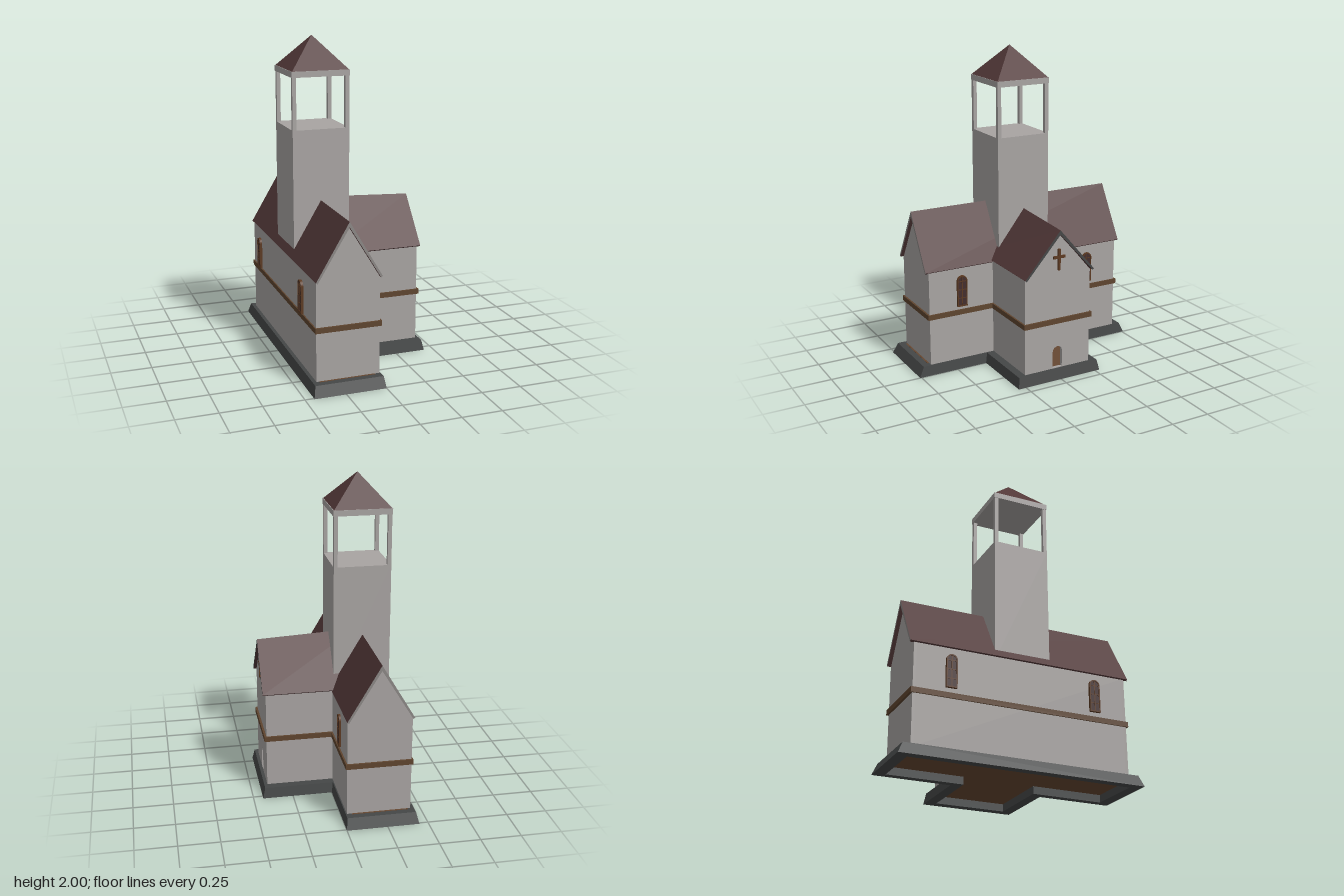
import * as THREE from 'three';

const mat = (name, color, opts = {}) => {
  const m = new THREE.MeshStandardMaterial({ color, ...opts });
  m.name = name;
  return m;
};

export function createModel() {
  const wall = mat('plaster', 0xa8a4a2);
  const roofRed = mat('roofTiles', 0x523838);
  const stone = mat('darkStone', 0x454747);
  const wood = mat('woodBand', 0x5f452f);
  const frameWood = mat('frameWood', 0x5c3a22);
  const glass = mat('darkGlass', 0x432e2e);
  const boards = mat('floorBoards', 0x664832);
  const trim = mat('roofEdge', 0x8b8785);

  const model = new THREE.Group();
  model.name = 'chapel';
  const add = (name, geo, material, parent = model) => {
    const m = new THREE.Mesh(geo, material);
    m.name = name;
    parent.add(m);
    return m;
  };
  const block = (name, x0, x1, y0, y1, z0, z1, material, parent) =>
    add(name, new THREE.BoxGeometry(x1 - x0, y1 - y0, z1 - z0)
      .translate((x0 + x1) / 2, (y0 + y1) / 2, (z0 + z1) / 2), material, parent);
  const polygon = (pts) => new THREE.Shape(pts.map(([x, y]) => new THREE.Vector2(x, y)));
  const extrude = (shape, depth) =>
    new THREE.ExtrudeGeometry(shape, { depth, bevelEnabled: false, curveSegments: 8 });

  // T-shaped plan: nave x0..x1 by z0..z1, wing out to x2 by w0..w1
  const plan = (x0, x1, x2, z0, z1, w0, w1) => [
    [x0, z0], [x1, z0], [x1, w0], [x2, w0], [x2, w1], [x1, w1], [x1, z1], [x0, z1]];

  // Closed ring through plan loops, each given as [plan, height]
  const ring = (loops) => {
    const pos = [];
    loops.forEach(([a, ya], k) => {
      const [b, yb] = loops[(k + 1) % loops.length];
      a.forEach((p, i) => {
        const j = (i + 1) % a.length;
        const A = [p[0], ya, p[1]], B = [b[i][0], yb, b[i][1]];
        const C = [b[j][0], yb, b[j][1]], D = [a[j][0], ya, a[j][1]];
        pos.push(...A, ...B, ...C, ...A, ...C, ...D);
      });
    });
    const g = new THREE.BufferGeometry();
    g.setAttribute('position', new THREE.Float32BufferAttribute(pos, 3));
    g.computeVertexNormals();
    return g;
  };

  // Plinth with sloping sides, and the floor inside it
  const inner = plan(-0.39, -0.045, 0.385, -0.69, 0.69, -0.215, 0.235);
  add('plinth', ring([
    [inner, 0],
    [plan(-0.445, 0, 0.44, -0.76, 0.76, -0.28, 0.3), 0],
    [plan(-0.43, -0.008, 0.425, -0.73, 0.73, -0.268, 0.288), 0.066],
    [inner, 0.066],
  ]), stone);
  add('floor', extrude(polygon(inner), 0.02).rotateX(Math.PI / 2).translate(0, 0.067, 0), boards);

  // Long walls
  const base = 0.06, top = 0.672, t = 0.02;
  block('naveLeftWall', -0.407, -0.387, base, top, -0.66, 0.66, wall);
  block('naveRightWallFront', -0.035, -0.015, base, top, 0.218, 0.66, wall);
  block('naveRightWallBack', -0.035, -0.015, base, top, -0.66, -0.198, wall);
  block('wingFrontWall', -0.03, 0.39, base, top + 0.01, 0.218, 0.238, wall);
  block('wingBackWall', -0.03, 0.39, base, top + 0.01, -0.218, -0.198, wall);

  // Gable walls
  const gable = (c, half, eave, peak) => polygon([
    [c - half, base], [c + half, base], [c + half, eave], [c, peak], [c - half, eave]]);
  const naveGable = gable(-0.211, 0.196, top, 0.988);
  add('naveFrontGable', extrude(naveGable, t).translate(0, 0, 0.658), wall);
  add('naveBackGable', extrude(naveGable, t).translate(0, 0, -0.678), wall);

  // Arched outline used for the doorway, windows and frames
  const arch = (Type, c, r, y0, y1) => {
    const s = new Type();
    s.moveTo(c - r, y0);
    s.lineTo(c + r, y0);
    s.lineTo(c + r, y1 - r);
    s.absarc(c, y1 - r, r, 0, Math.PI, false);
    s.lineTo(c - r, y0);
    return s;
  };
  const wingGable = gable(-0.01, 0.228, 0.678, 0.95);
  wingGable.holes.push(arch(THREE.Path, -0.01, 0.033, 0.07, 0.21));
  add('wingGable', extrude(wingGable, t).rotateY(Math.PI / 2).translate(0.385, 0, 0), wall);

  // Wooden band around the walls
  const bandIn = plan(-0.4, -0.02, 0.4, -0.67, 0.67, -0.21, 0.23);
  const bandOut = plan(-0.415, -0.005, 0.418, -0.69, 0.69, -0.229, 0.249);
  add('band', ring([[bandIn, 0.366], [bandOut, 0.366], [bandOut, 0.398], [bandIn, 0.398]]), wood);

  // Roofs as thin chevrons
  const chevron = (half, eave, peak, drop) => polygon([
    [-half, eave], [-half + 0.01, eave - 0.008], [0, peak - drop],
    [half - 0.01, eave - 0.008], [half, eave], [0, peak]]);
  add('naveRoof', extrude(chevron(0.203, 0.676, 1.018, 0.033), 1.403)
    .translate(-0.211, 0, -0.702), [trim, roofRed]);
  const wingRoof = extrude(chevron(0.241, 0.685, 0.988, 0.028), 0.625)
    .rotateY(Math.PI / 2).translate(-0.2, 0, 0.006);
  const p = wingRoof.attributes.position;
  for (let i = 0; i < p.count; i++) { // the wing ridge dips outward
    if (p.getY(i) > 0.9) p.setY(i, p.getY(i) - 0.05 * (p.getX(i) + 0.03));
  }
  wingRoof.computeVertexNormals();
  add('wingRoof', wingRoof, [stone, roofRed]);

  // Bell tower
  const tower = new THREE.Group();
  tower.name = 'tower';
  tower.position.set(-0.207, 0, 0.008);
  model.add(tower);
  const h = 0.178, post = 0.024;
  block('towerShaft', -h, h, 0.66, 1.456, -h, h, wall, tower);
  for (const sx of [-1, 1]) for (const sz of [-1, 1]) {
    const x = sx * (h - post / 2), z = sz * (h - post / 2);
    block('towerPost', x - post / 2, x + post / 2, 1.456, 1.77, z - post / 2, z + post / 2, wall, tower);
  }
  block('towerCornice', -0.181, 0.181, 1.77, 1.806, -0.181, 0.181, wall, tower);
  const spire = new THREE.ConeGeometry(0.177 * Math.SQRT2, 0.194, 4).toNonIndexed();
  spire.rotateY(Math.PI / 4).translate(0, 1.903, 0).computeVertexNormals();
  add('towerRoof', spire, roofRed, tower);

  // Arched windows on both long sides
  const makeWindow = (x, z, turn) => {
    const g = new THREE.Group();
    g.name = 'window';
    const frame = arch(THREE.Shape, 0, 0.034, 0.42, 0.622);
    frame.holes.push(arch(THREE.Path, 0, 0.027, 0.428, 0.615));
    add('windowFrame', extrude(frame, 0.016).translate(0, 0, -0.008), frameWood, g);
    add('windowPane', extrude(arch(THREE.Shape, 0, 0.029, 0.425, 0.617), 0.008)
      .translate(0, 0, -0.004), glass, g);
    block('mullion', -0.003, 0.003, 0.425, 0.617, -0.006, 0.006, frameWood, g);
    for (const y of [0.475, 0.53, 0.585]) {
      block('windowBar', -0.029, 0.029, y - 0.0025, y + 0.0025, -0.006, 0.006, frameWood, g);
    }
    g.position.set(x, 0, z);
    g.rotation.y = turn;
    model.add(g);
  };
  for (const z of [-0.457, 0.457]) {
    makeWindow(-0.431, z, -Math.PI / 2);
    makeWindow(-0.01, z, Math.PI / 2);
  }

  // Cross on the wing gable
  const cross = new THREE.Group();
  cross.name = 'cross';
  model.add(cross);
  block('crossPost', 0.403, 0.416, 0.71, 0.845, -0.002, 0.014, frameWood, cross);
  block('crossArm', 0.403, 0.415, 0.785, 0.802, -0.035, 0.046, frameWood, cross);

  return model;
}
